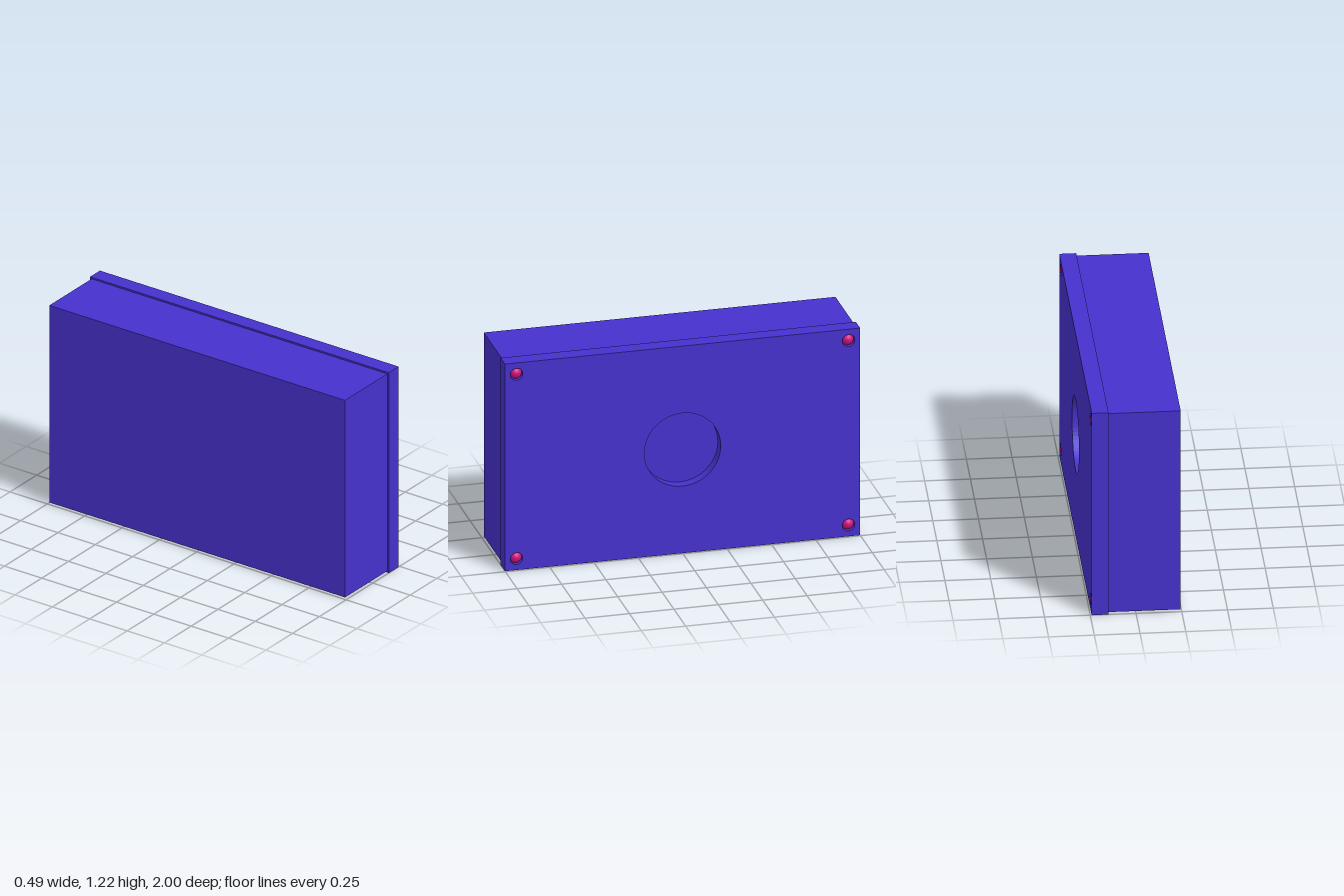
import * as THREE from 'three';

const W = 2, H = 1.22;            // lid outline (z, y)
const BW = 1.98, BH = 1.2;        // body outline (z, y)
const SCREW_Z = 0.935, SCREW_Y = 0.543, SCREW_R = 0.035;

// Rectangle outline centred on the origin
function rect(Type, w, h) {
  const p = new Type();
  p.moveTo(-w / 2, -h / 2).lineTo(w / 2, -h / 2).lineTo(w / 2, h / 2).lineTo(-w / 2, h / 2).closePath();
  return p;
}

function circle(x, y, r) {
  return new THREE.Path().absarc(x, y, r, 0, Math.PI * 2, true);
}

// Extrude a shape along +x from x0 to x1
function slab(shape, x0, x1) {
  const g = new THREE.ExtrudeGeometry(shape, { depth: x1 - x0, bevelEnabled: false, curveSegments: 32 });
  return g.rotateY(Math.PI / 2).translate(x0, H / 2, 0);
}

export function createModel() {
  const model = new THREE.Group();
  model.name = 'enclosure';
  const shellMat = new THREE.MeshStandardMaterial({ color: 0x4631cc });
  const screwMat = new THREE.MeshStandardMaterial({ color: 0xd4107f });

  const add = (name, geometry, material, parent = model) => {
    const mesh = new THREE.Mesh(geometry, material);
    mesh.name = name;
    parent.add(mesh);
    return mesh;
  };

  // Deep box, reaching up inside the lid
  const body = add('body', new THREE.BoxGeometry(0.425, BH, BW), shellMat);
  body.position.set(-0.0325, H / 2, 0);

  // Lid: pierced face plate plus a rim that wraps the body
  const lid = new THREE.Group();
  lid.name = 'lid';
  model.add(lid);

  const corners = [[-1, -1], [-1, 1], [1, -1], [1, 1]];
  const plate = rect(THREE.Shape, W, H);
  plate.holes.push(circle(0, 0, 0.215));
  for (const [sz, sy] of corners) plate.holes.push(circle(sz * SCREW_Z, sy * SCREW_Y, SCREW_R));
  add('lidPlate', slab(plate, 0.18, 0.242), shellMat, lid);

  const rim = rect(THREE.Shape, W, H);
  rim.holes.push(rect(THREE.Path, BW, BH));
  add('lidRim', slab(rim, 0.15, 0.18), shellMat, lid);

  // Round screw heads sunk in the corner holes
  for (const [sz, sy] of corners) {
    const screw = add('screw', new THREE.SphereGeometry(SCREW_R, 24, 16), screwMat);
    screw.position.set(0.21, H / 2 + sy * SCREW_Y, sz * SCREW_Z);
  }
  return model;
}
